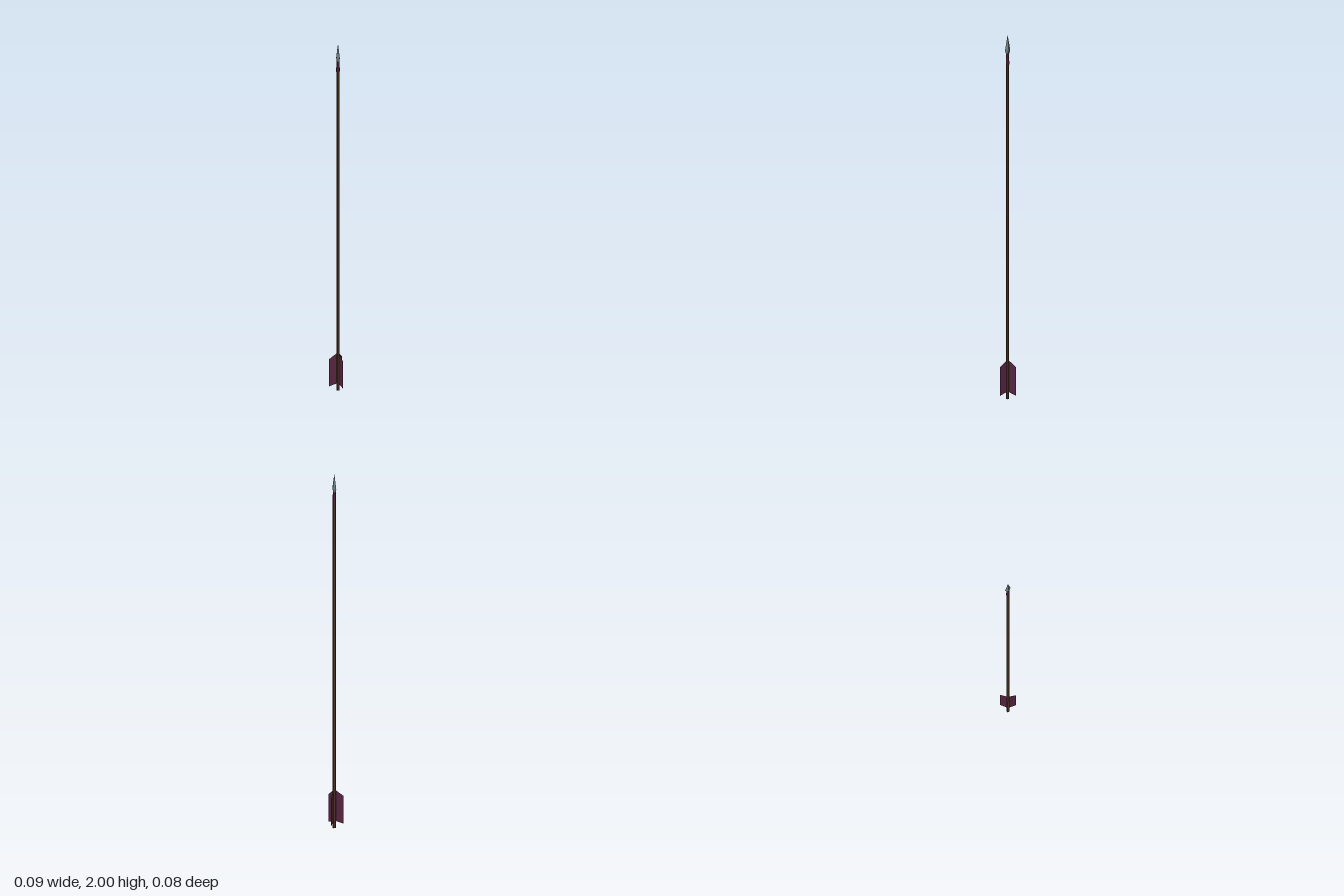
import * as THREE from 'three';

export function createModel() {
  const wood = new THREE.MeshStandardMaterial({ name: 'dark wood', color: 0x4d3323, flatShading: true });
  const purple = new THREE.MeshStandardMaterial({ name: 'purple feather', color: 0x54233f, flatShading: true, side: THREE.DoubleSide });
  const steel = new THREE.MeshStandardMaterial({ name: 'grey steel', color: 0x66777c, flatShading: true });

  const arrow = new THREE.Group();
  arrow.name = 'arrow';
  arrow.position.z = -0.0125; // three vanes make the depth lopsided around the shaft

  const add = (name, geometry, material, y = 0) => {
    const mesh = new THREE.Mesh(geometry, material);
    mesh.name = name;
    mesh.position.y = y;
    arrow.add(mesh);
    return mesh;
  };

  // Shaft
  add('shaft', new THREE.CylinderGeometry(0.009, 0.009, 1.88, 6), wood, 0.94);

  // Binding below the head
  add('binding', new THREE.CylinderGeometry(0.008, 0.0105, 0.06, 6), purple, 1.867);

  // Four-sided head: flattened diamond section, widest near its base
  const profile = [[0, 1.885], [0.007, 1.885], [0.017, 1.915], [0, 2]];
  const head = new THREE.LatheGeometry(profile.map(([r, y]) => new THREE.Vector2(r, y)), 4);
  head.scale(0.68, 1, 1);
  add('head', head, steel);

  // Three feather vanes, one facing the front
  const vane = new THREE.ShapeGeometry(new THREE.Shape([
    [0.004, 0.04], [0.05, 0.022], [0.05, 0.178], [0.004, 0.215],
  ].map(([x, y]) => new THREE.Vector2(x, y))));
  vane.rotateY(-Math.PI / 2);
  for (let i = 0; i < 3; i++) {
    add('vane' + (i + 1), vane, purple).rotation.y = i * Math.PI * 2 / 3;
  }

  const model = new THREE.Group();
  model.add(arrow);
  return model;
}
